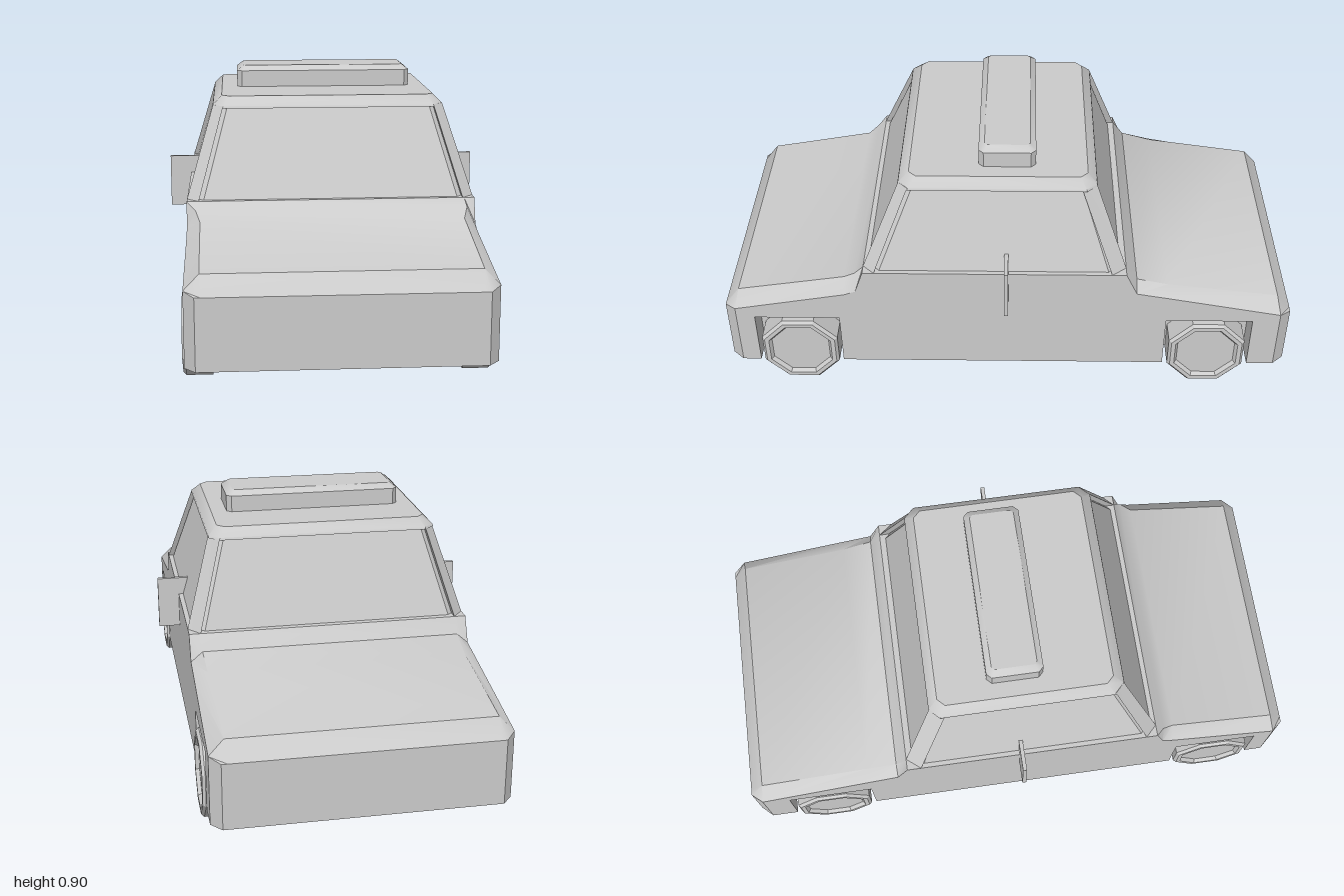
import * as THREE from 'three';
import { toCreasedNormals } from 'three/addons/utils/BufferGeometryUtils.js';

const grey = new THREE.MeshStandardMaterial({ color: 0xcccccc });
const thin = new THREE.MeshStandardMaterial({ color: 0xcccccc, side: THREE.DoubleSide });
const hollow = new THREE.MeshStandardMaterial({ color: 0xcccccc, side: THREE.BackSide });
const FLOOR = 0.085;
const W = 0.485;
const WELLS = [[0.895, 0.595], [-0.56, -0.865]]; // front and back end of each wheel well

function part(name, geometry, material = grey) {
  const mesh = new THREE.Mesh(geometry, material);
  mesh.name = name;
  return mesh;
}

// Skin between rings of [x, y, z] points; closed rings also get end caps
function loft(rings, closed = true, crease = 0.6) {
  const out = [];
  const n = rings[0].length;
  for (let r = 0; r < rings.length - 1; r++) {
    for (let i = 0; i < (closed ? n : n - 1); i++) {
      const j = (i + 1) % n;
      const [a, b, c, d] = [rings[r][i], rings[r][j], rings[r + 1][j], rings[r + 1][i]];
      out.push(...a, ...b, ...d, ...b, ...c, ...d);
    }
  }
  if (closed) {
    const low = rings[0], top = rings[rings.length - 1];
    for (let i = 1; i < n - 1; i++) {
      out.push(...top[0], ...top[i], ...top[i + 1], ...low[0], ...low[i + 1], ...low[i]);
    }
  }
  const g = new THREE.BufferGeometry();
  g.setAttribute('position', new THREE.Float32BufferAttribute(out, 3));
  return toCreasedNormals(g, crease);
}

// Horizontal rectangle with cut corners
function octagon(y, hx, front, back, c) {
  const half = [[hx - c, y, front], [hx, y, front - c], [hx, y, back + c], [hx - c, y, back]];
  return [...half, ...half.map(([x, , z]) => [-x, y, z]).reverse()];
}

const flat = (points) => new THREE.ShapeGeometry(new THREE.Shape(points.map(p => new THREE.Vector2(...p))));

// Body sections from front to back: z, half width, shoulder height, deck half width, deck height
const SECTIONS = [
  [1, 0.45, 0.32, 0.43, 0.32],
  [0.96, W, 0.33, 0.435, 0.38],
  [0.57, W, 0.4, 0.44, 0.445],
  [0.53, W, 0.415, 0.455, 0.475],
  [0.5, W, 0.5, 0.45, 0.5],
  [-0.41, W, 0.5, 0.45, 0.5],
  [-0.45, W, 0.415, 0.445, 0.45],
  [-0.56, W, 0.395, 0.44, 0.422],
  [-0.96, W, 0.32, 0.435, 0.37],
  [-1, 0.45, 0.31, 0.43, 0.31],
];

function wheel() {
  const profile = [[0, 0], [0.146, 0], [0.146, 0.085], [0.136, 0.095], [0.12, 0.095], [0.11, 0.082], [0, 0.082]];
  const g = new THREE.LatheGeometry(profile.map(p => new THREE.Vector2(...p)), 8, Math.PI / 8);
  g.rotateZ(-Math.PI / 2);
  return part('wheel', toCreasedNormals(g, 0.3));
}

// Inside of a wheel well, open outward and downward
function wheelWell(front, back) {
  const g = new THREE.BoxGeometry(W - 0.398, 0.29 - FLOOR, front - back);
  const index = Array.from(g.index.array);
  g.setIndex([...index.slice(6, 18), ...index.slice(24)]);
  g.translate((W + 0.398) / 2, (0.29 + FLOOR) / 2, (front + back) / 2);
  return part('wheelWell', g, hollow);
}

function pillar(name, low, top, dir) {
  // low and top: [z of side corner, z of end corner, side x, end x]
  const ring = (y, [zs, ze, xs, xe]) => {
    const pts = [[xe, y, ze], [xs, y, zs], [xs - 0.035, y, zs], [xe, y, ze - dir * 0.035]];
    return dir > 0 ? pts : [pts[1], pts[0], pts[3], pts[2]];
  };
  return part(name, loft([ring(0.5, low), ring(0.8, top)], true, 0.3));
}

// Everything on the left side; mirrored for the right
function buildSide() {
  const side = new THREE.Group();

  const outline = SECTIONS.slice(1, -1).map(([z, , y]) => [-z, y]);
  outline.push([0.96, FLOOR]);
  for (const [front, back] of [...WELLS].reverse()) {
    outline.push([-back, FLOOR], [-back, 0.29], [-front, 0.29], [-front, FLOOR]);
  }
  outline.push([-0.96, FLOOR]);
  const panel = part('sidePanel', flat(outline).rotateY(Math.PI / 2), thin);
  panel.position.x = W;
  side.add(panel);

  for (const [front, back] of WELLS) {
    const w = wheel();
    w.position.set(0.4, 0.138, (front + back) / 2);
    side.add(wheelWell(front, back), w);
  }

  side.add(
    pillar('frontPillar', [0.46, 0.5, W, 0.445], [0.337, 0.37, 0.395, 0.36], 1),
    pillar('rearPillar', [-0.36, -0.41, W, 0.445], [-0.25, -0.3, 0.395, 0.36], -1),
  );

  const mirror = part('sideMirror', new THREE.BoxGeometry(0.12, 0.185, 0.014));
  mirror.position.set(0.5, 0.47, 0.004);
  side.add(mirror);

  // Tapered struts under the floor
  const struts = [
    [[0.21, FLOOR], [0.205, 0], [0.175, 0], [0.142, FLOOR]],
    [[-0.137, FLOOR], [-0.17, 0], [-0.205, 0], [-0.207, FLOOR]],
  ];
  for (const points of struts) {
    const shape = new THREE.Shape(points.map(([z, y]) => new THREE.Vector2(-z, y)));
    const g = new THREE.ExtrudeGeometry(shape, { depth: 0.024, bevelEnabled: false });
    g.rotateY(Math.PI / 2).translate(0.361, 0, 0);
    side.add(part('underStrut', g));
  }
  return side;
}

export function createModel() {
  const car = new THREE.Group();
  car.name = 'car';

  // Hood, cowl and trunk deck
  car.add(part('upperBody', loft(SECTIONS.map(([z, w, ys, wt, yt]) => {
    const zt = Math.abs(z) === 0.96 ? Math.sign(z) * 0.95 : z;
    return [[-w, ys, z], [-wt, yt, zt], [wt, yt, zt], [w, ys, z]];
  }), false), thin));

  // Front and rear ends with cut corners
  for (const [name, s, yEnd, yCorner] of [['frontEnd', 1, 0.32, 0.33], ['rearEnd', -1, 0.31, 0.32]]) {
    const ring = (ye, yc) => [[-W * s, yc, 0.96 * s], [-0.45 * s, ye, s], [0.45 * s, ye, s], [W * s, yc, 0.96 * s]];
    car.add(part(name, loft([ring(FLOOR, FLOOR), ring(yEnd, yCorner)], false, 0.3), thin));
  }

  // Floor with wheel well notches
  const edge = [[0.45, 1], [W, 0.96]];
  for (const [f, b] of WELLS) edge.push([W, f], [0.398, f], [0.398, b], [W, b]);
  edge.push([W, -0.96], [0.45, -1]);
  const floor = flat([...edge, ...edge.map(([x, z]) => [-x, z]).reverse()]);
  floor.rotateX(Math.PI / 2).translate(0, FLOOR, 0);
  car.add(part('floor', floor, thin));

  // Recessed windows all around
  car.add(part('windows', loft([
    octagon(0.495, 0.47, 0.485, -0.39, 0.04),
    octagon(0.8, 0.38, 0.355, -0.285, 0.035),
  ], true, 0.3)));

  car.add(part('roof', loft([
    octagon(0.792, 0.397, 0.373, -0.303, 0.035),
    octagon(0.8, 0.395, 0.37, -0.3, 0.035),
    octagon(0.83, 0.365, 0.335, -0.27, 0.025),
  ])));

  car.add(part('roofSign', loft([
    octagon(0.825, 0.31, 0.1, -0.095, 0.017),
    octagon(0.887, 0.31, 0.1, -0.095, 0.017),
    octagon(0.905, 0.287, 0.08, -0.075, 0.01),
  ])));

  const left = buildSide();
  left.name = 'leftSide';
  const right = left.clone();
  right.name = 'rightSide';
  right.scale.x = -1;
  car.add(left, right);
  return car;
}
